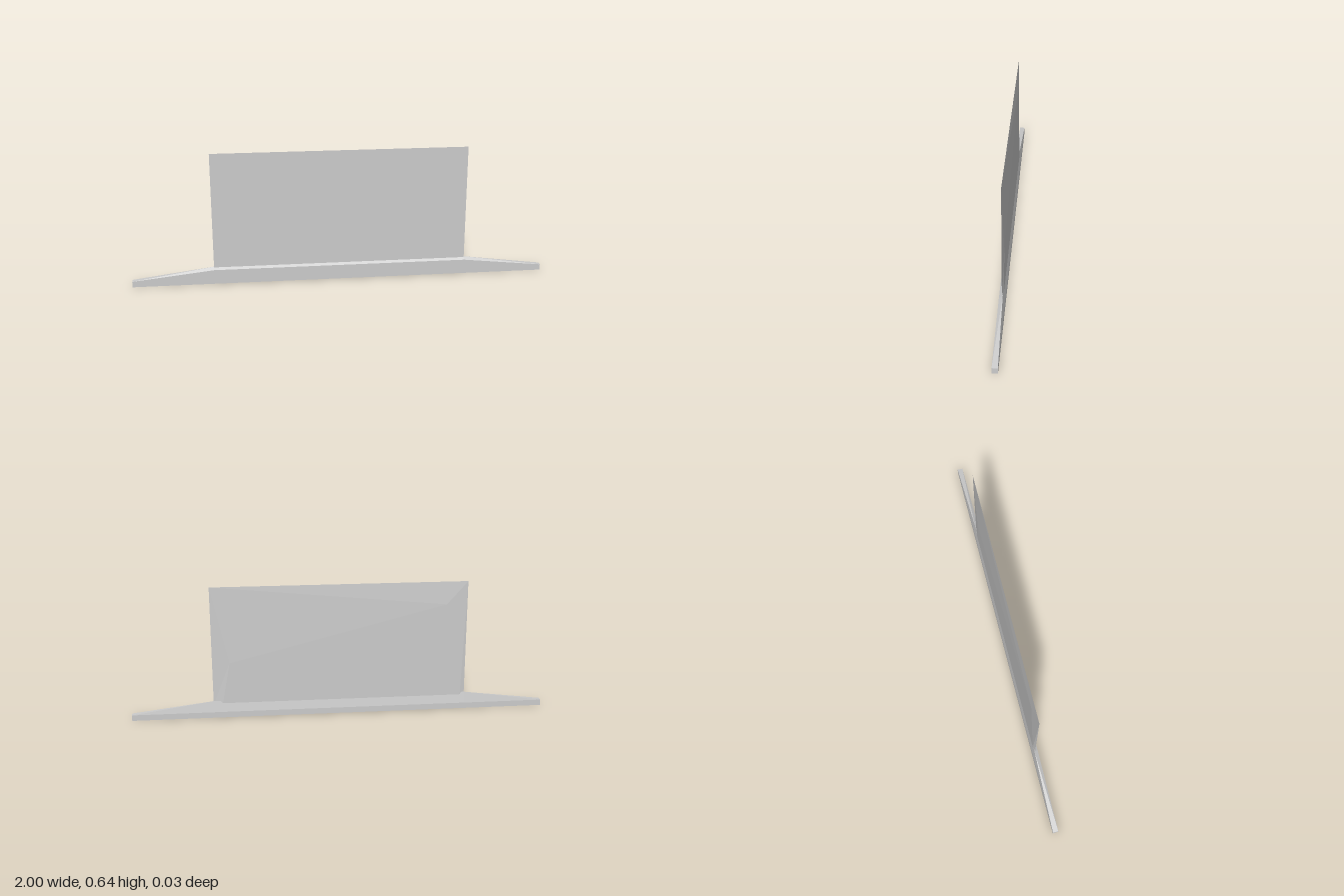
import * as THREE from 'three';

const material = new THREE.MeshStandardMaterial({ color: 0xcccccc, flatShading: true });

// Joins equal-length point loops with faces and closes both ends.
// Loops run counter-clockwise as seen from outside the first one.
function loft(name, loops, flipLast = false) {
  const n = loops[0].length;
  const last = loops.length - 1;
  const index = [];
  for (let i = 0; i < last; i++) {
    for (let j = 0; j < n; j++) {
      const k = (j + 1) % n;
      const a = i * n + j, b = i * n + k, c = b + n, d = a + n;
      if (flipLast && i === last - 1) index.push(a, d, b, d, c, b);
      else index.push(a, d, c, a, c, b);
    }
  }
  for (let k = 1; k < n - 1; k++) {
    index.push(0, k, k + 1);
    index.push(last * n, last * n + k + 1, last * n + k);
  }
  const geometry = new THREE.BufferGeometry();
  geometry.setAttribute('position', new THREE.Float32BufferAttribute(loops.flat(2), 3));
  geometry.setIndex(index);
  const flat = geometry.toNonIndexed();
  flat.computeVertexNormals();
  const mesh = new THREE.Mesh(flat, material);
  mesh.name = name;
  return mesh;
}

export function createModel() {
  const group = new THREE.Group();
  group.name = 'bladeWithHandle';

  // Long handle: ridged along the middle, tapering to small square ends
  const middle = (x) => [[x, 0, 0.013], [x, 0.07, 0.013], [x, 0.082, -0.004], [x, 0.028, -0.013], [x, 0, -0.013]];
  const end = (x) => [[x, 0, 0.013], [x, 0.028, 0.013], [x, 0.028, -0.013], [x, 0.028, -0.013], [x, 0, -0.013]];
  group.add(loft('handle', [end(-1), middle(-0.612), middle(0.612), end(1)], true));

  // Thin blade: flat front, back hammered unevenly down to sharp edges
  const z = -0.006;
  const front = [[-0.612, 0.06, 0], [0.612, 0.06, 0], [0.612, 0.64, 0], [-0.612, 0.64, 0]];
  const back = [[-0.59, 0.06, z], [0.57, 0.06, z], [0.53, 0.27, z], [-0.51, 0.53, z]];
  group.add(loft('blade', [front, back]));

  return group;
}
